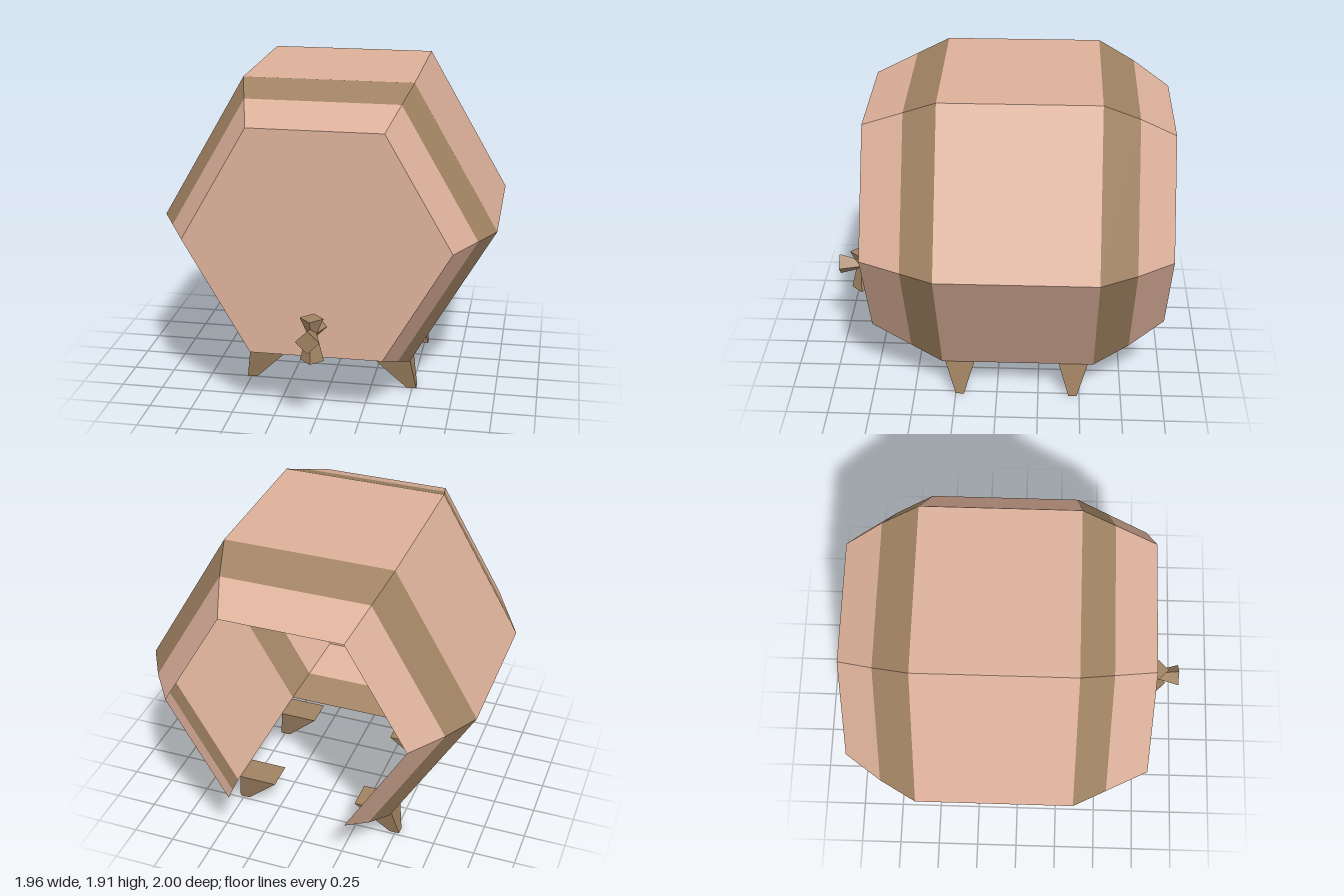
import * as THREE from 'three';

const wood = new THREE.MeshStandardMaterial({ color: 0xdcb09a, flatShading: true, side: THREE.DoubleSide });
const brown = new THREE.MeshStandardMaterial({ color: 0xa08262, flatShading: true, side: THREE.DoubleSide });

const CY = 1.06; // height of the barrel axis
const SIDES = 6, BOTTOM = 4;

function add(parent, name, geometry, material) {
  const mesh = new THREE.Mesh(geometry, material);
  mesh.name = name;
  parent.add(mesh);
  return mesh;
}

// One hexagonal ring of panels between a front and a back section [z, radius]
function ring([zf, rf], [zb, rb], openBottom) {
  const pos = [];
  const corner = (i, r, z) => {
    const t = (i * Math.PI * 2) / SIDES;
    return [r * Math.cos(t), CY + r * Math.sin(t), z];
  };
  for (let i = 0; i < SIDES; i++) {
    if (openBottom && i === BOTTOM) continue;
    const af = corner(i, rf, zf), bf = corner(i + 1, rf, zf);
    const ab = corner(i, rb, zb), bb = corner(i + 1, rb, zb);
    pos.push(...ab, ...bb, ...af, ...bb, ...bf, ...af);
  }
  const g = new THREE.BufferGeometry();
  g.setAttribute('position', new THREE.Float32BufferAttribute(pos, 3));
  g.computeVertexNormals();
  return g;
}

// Tapered leg: wide at the barrel, narrow and splayed outward at the foot
function legGeometry(side, z) {
  const g = new THREE.BoxGeometry(1, 1, 1);
  const p = g.attributes.position;
  for (let i = 0; i < p.count; i++) {
    const top = p.getY(i) > 0;
    const outer = p.getX(i) * side > 0;
    const x = top ? (outer ? 0.49 : 0.26) : (outer ? 0.525 : 0.465);
    p.setXYZ(i, side * x, top ? 0.212 : 0, z + Math.sign(p.getZ(i)) * (top ? 0.088 : 0.025));
  }
  g.computeVertexNormals();
  return g;
}

// Four-sided double cone, pinched at height 0
function pinched(low, high) {
  const r = 0.068;
  const pts = [[0, low], [r, low], [0.028, 0], [r, high], [0, high]];
  return new THREE.LatheGeometry(pts.map(([x, y]) => new THREE.Vector2(x, y)), 4);
}

export function createModel() {
  const model = new THREE.Group();
  model.name = 'barrel';

  // Barrel shell, open at the back and underneath
  const sections = [[0.76, 0.765], [0.52, 0.885], [0.33, 0.98], [-0.58, 0.98], [-0.79, 0.86], [-1, 0.71]];
  const parts = [
    ['frontStaves', wood, false], ['frontHoop', brown, false], ['middleStaves', wood, true],
    ['backHoop', brown, true], ['backStaves', wood, true],
  ];
  parts.forEach(([name, mat, open], k) => add(model, name, ring(sections[k], sections[k + 1], open), mat));

  // Flat front lid
  const lid = add(model, 'frontLid', new THREE.CircleGeometry(sections[0][1], SIDES), wood);
  lid.position.set(0, CY, sections[0][0]);

  // Four legs
  for (const side of [1, -1]) {
    for (const [place, z] of [['front', 0.225], ['back', -0.46]]) {
      add(model, `${place}${side > 0 ? 'Left' : 'Right'}Leg`, legGeometry(side, z), brown);
    }
  }

  // Tap: a spout pointing forward crossed by an upright handle
  const tap = new THREE.Group();
  tap.name = 'tap';
  tap.position.set(0, 0.588, 0.865);
  add(tap, 'spout', pinched(-0.105, 0.135), brown).rotation.x = Math.PI / 2;
  add(tap, 'handle', pinched(-0.163, 0.09), brown);
  model.add(tap);

  return model;
}
